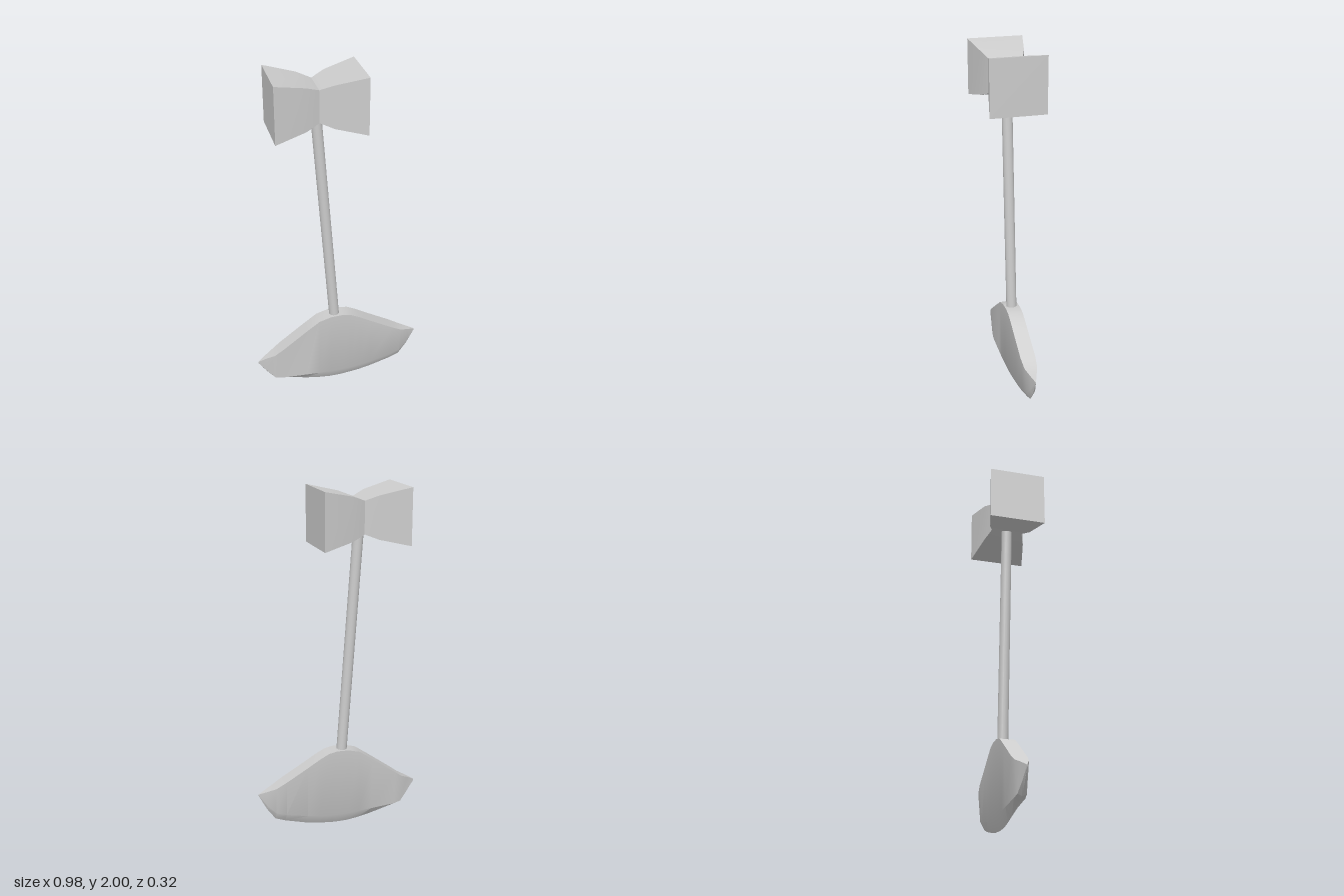
import * as THREE from 'three';
import { toCreasedNormals } from 'three/addons/utils/BufferGeometryUtils.js';

const material = new THREE.MeshStandardMaterial({ color: 0xcccccc });

// Skin cross-sections ordered along +x; each ring runs top, front, bottom, back.
function loft(rings, crease) {
  const n = rings[0].length;
  const index = [];
  for (let i = 0; i < rings.length - 1; i++) {
    for (let j = 0; j < n; j++) {
      const a = i * n + j, b = i * n + (j + 1) % n;
      index.push(a, b, a + n, b, b + n, a + n);
    }
  }
  const last = (rings.length - 1) * n;
  for (let j = 1; j < n - 1; j++) {
    index.push(0, j + 1, j, last, last + j, last + j + 1);
  }
  const geometry = new THREE.BufferGeometry();
  geometry.setAttribute('position', new THREE.Float32BufferAttribute(rings.flat(2), 3));
  geometry.setIndex(index);
  return toCreasedNormals(geometry, crease);
}

function addPart(group, name, geometry) {
  const mesh = new THREE.Mesh(geometry, material);
  mesh.name = name;
  group.add(mesh);
  return mesh;
}

export function createModel() {
  const group = new THREE.Group();
  group.name = 'bladedTool';

  // Blade: flat spine, slightly tapering cheeks and a bevelled cutting edge
  // x, spine y, bevel y, edge y, spine half width, bevel half width
  const sections = [
    [-0.49, 0.2, 0.195, 0.19, 0.001, 0.001],
    [-0.44, 0.23, 0.13, 0.12, 0.019, 0.012],
    [-0.395, 0.253, 0.08, 0.07, 0.037, 0.024],
    [-0.35, 0.287, 0.072, 0.056, 0.043, 0.029],
    [-0.2, 0.4, 0.068, 0.019, 0.043, 0.032],
    [-0.12, 0.458, 0.066, 0.006, 0.043, 0.033],
    [-0.05, 0.479, 0.065, 0, 0.043, 0.033],
    [0.02, 0.483, 0.067, 0.002, 0.043, 0.033],
    [0.07, 0.475, 0.07, 0.008, 0.043, 0.033],
    [0.13, 0.446, 0.078, 0.016, 0.043, 0.033],
    [0.2, 0.406, 0.09, 0.031, 0.043, 0.032],
    [0.33, 0.335, 0.12, 0.07, 0.043, 0.029],
    [0.39, 0.302, 0.139, 0.095, 0.037, 0.024],
    [0.44, 0.284, 0.19, 0.166, 0.019, 0.012],
    [0.487, 0.268, 0.263, 0.258, 0.001, 0.001],
  ];
  const bladeRings = sections.map(([x, top, bevel, edge, w, b]) => [
    [x, top, -w], [x, top, w], [x, bevel, b], [x, edge, 0], [x, bevel, -b],
  ]);
  addPart(group, 'blade', loft(bladeRings, 0.5));

  // Handle: slim leaning rod from the blade spine into the head
  const bottom = new THREE.Vector3(-0.02, 0.46, 0);
  const top = new THREE.Vector3(-0.12, 1.8, 0);
  const axis = top.clone().sub(bottom);
  const handle = addPart(group, 'handle', new THREE.CylinderGeometry(0.03, 0.03, axis.length(), 16));
  handle.position.copy(bottom).add(top).multiplyScalar(0.5);
  handle.quaternion.setFromUnitVectors(new THREE.Vector3(0, 1, 0), axis.normalize());

  // Head: square hammer flaring from a narrow waist to both striking faces
  const y = 1.842;
  const headRings = [
    [-0.365, 0.158], [-0.193, 0.119], [-0.118, 0.09], [-0.043, 0.119], [0.13, 0.158],
  ].map(([x, h]) => [[x, y + h, -h], [x, y + h, h], [x, y - h, h], [x, y - h, -h]]);
  addPart(group, 'hammerHead', loft(headRings, 0.4));

  return group;
}
